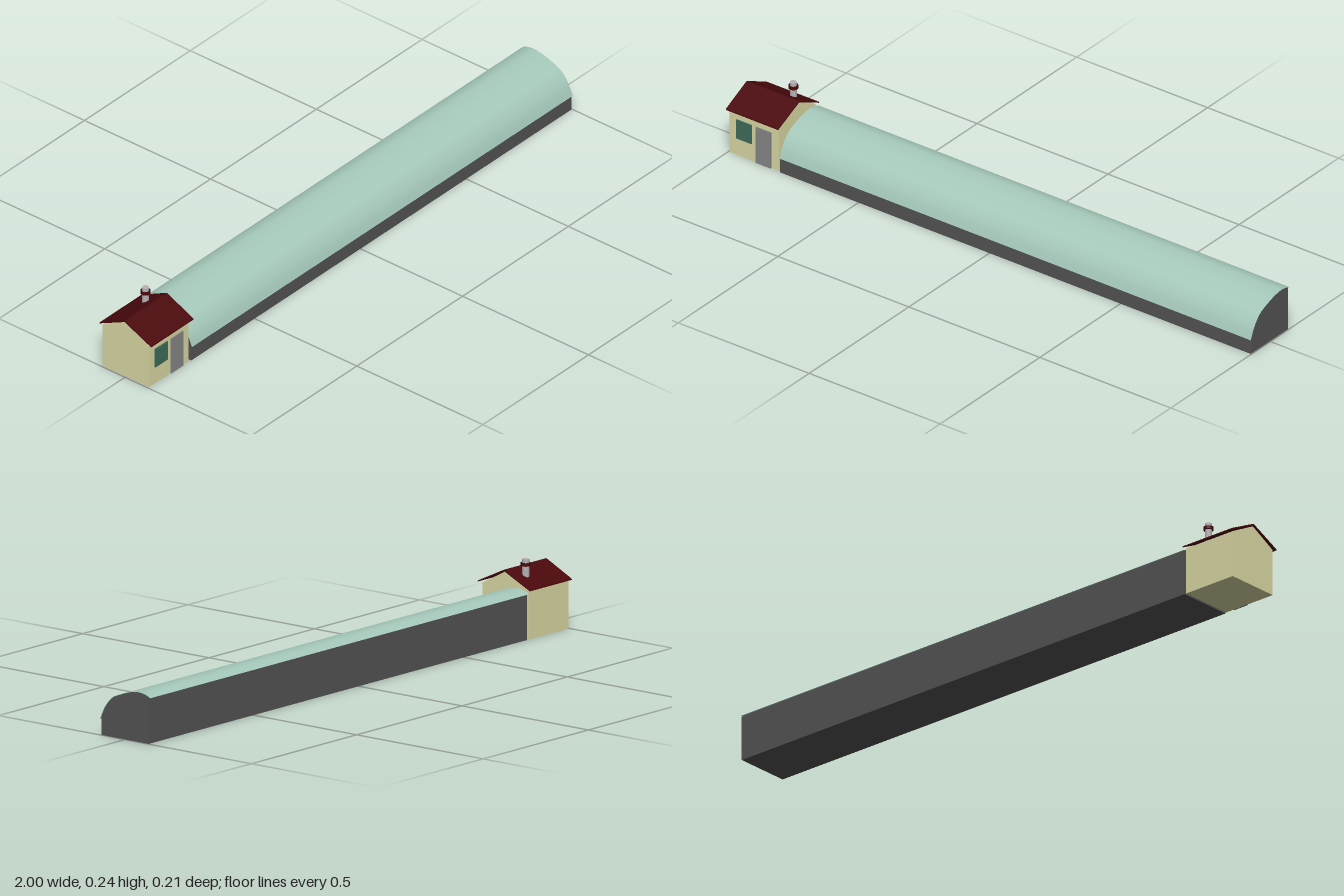
import * as THREE from 'three';

const mat = (color, side = THREE.FrontSide) =>
  new THREE.MeshStandardMaterial({ color, side });

// Extrudes a (z, y) outline along x from x0 to x1
function prism(name, outline, x0, x1, material) {
  const shape = new THREE.Shape(outline.map(([z, y]) => new THREE.Vector2(z, y)));
  const geo = new THREE.ExtrudeGeometry(shape, { depth: x1 - x0, bevelEnabled: false });
  geo.rotateY(-Math.PI / 2).translate(x1, 0, 0);
  const mesh = new THREE.Mesh(geo, material);
  mesh.name = name;
  return mesh;
}

function box(name, x0, x1, y0, y1, z0, z1, material) {
  const mesh = new THREE.Mesh(new THREE.BoxGeometry(x1 - x0, y1 - y0, z1 - z0), material);
  mesh.position.set((x0 + x1) / 2, (y0 + y1) / 2, (z0 + z1) / 2);
  mesh.name = name;
  return mesh;
}

function cylinder(name, radius, y0, y1, x, z, material) {
  const mesh = new THREE.Mesh(new THREE.CylinderGeometry(radius, radius, y1 - y0, 24), material);
  mesh.position.set(x, (y0 + y1) / 2, z);
  mesh.name = name;
  return mesh;
}

export function createModel() {
  const model = new THREE.Group();
  model.name = 'longHallWithHouse';
  const darkGrey = mat(0x555555), cream = mat(0xdedca6), darkRed = mat(0x4a090c);

  // Cross-section of the curved cover, front to back, as (z, y)
  const curve = new THREE.SplineCurve([
    [0.098, 0.05], [0.084, 0.082], [0.067, 0.107], [0.045, 0.127],
    [0.0, 0.145], [-0.03, 0.153], [-0.06, 0.156], [-0.085, 0.151], [-0.1, 0.144],
  ].map(([z, y]) => new THREE.Vector2(z, y)));

  // Hall body, just beneath the cover
  const arch = curve.getPoints(40)
    .filter(p => p.x < 0.094 && p.x > -0.091)
    .map(p => [p.x, p.y - 0.002]);
  model.add(prism('hallBody',
    [[-0.092, 0], [0.095, 0], [0.095, 0.053], ...arch, [-0.092, 0.146]],
    -0.8, 0.998, darkGrey));

  // Curved cover: a thin sheet bent along the cross-section
  const sheet = new THREE.PlaneGeometry(1.8, 1, 1, 40);
  const pos = sheet.attributes.position;
  for (let i = 0; i < pos.count; i++) {
    const p = curve.getPoint(THREE.MathUtils.clamp(pos.getY(i) + 0.5, 0, 1));
    pos.setXYZ(i, pos.getX(i) + 0.1, p.y, p.x);
  }
  sheet.computeVertexNormals();
  const cover = new THREE.Mesh(sheet, mat(0xa5c9bb, THREE.DoubleSide));
  cover.name = 'curvedCover';
  model.add(cover);

  // House with gabled walls and pitched roof
  const house = new THREE.Group();
  house.name = 'house';
  house.add(prism('houseWalls',
    [[-0.092, 0], [0.091, 0], [0.091, 0.151], [0, 0.199], [-0.092, 0.151]],
    -0.996, -0.807, cream));
  house.add(prism('roof',
    [[0.104, 0.153], [0.103, 0.157], [-0.001, 0.206], [-0.101, 0.157], [-0.102, 0.153], [-0.001, 0.201]],
    -1, -0.8, darkRed));
  house.add(box('window', -0.968, -0.909, 0.06, 0.126, 0.088, 0.095, mat(0x3f6f5c)));
  house.add(box('door', -0.893, -0.836, 0, 0.126, 0.088, 0.095, mat(0x898989)));

  // Chimney with collar
  house.add(cylinder('chimney', 0.011, 0.16, 0.236, -0.853, -0.042, mat(0xb8b2b6)));
  house.add(cylinder('chimneyCollar', 0.0155, 0.215, 0.225, -0.853, -0.042, darkRed));
  model.add(house);

  return model;
}
